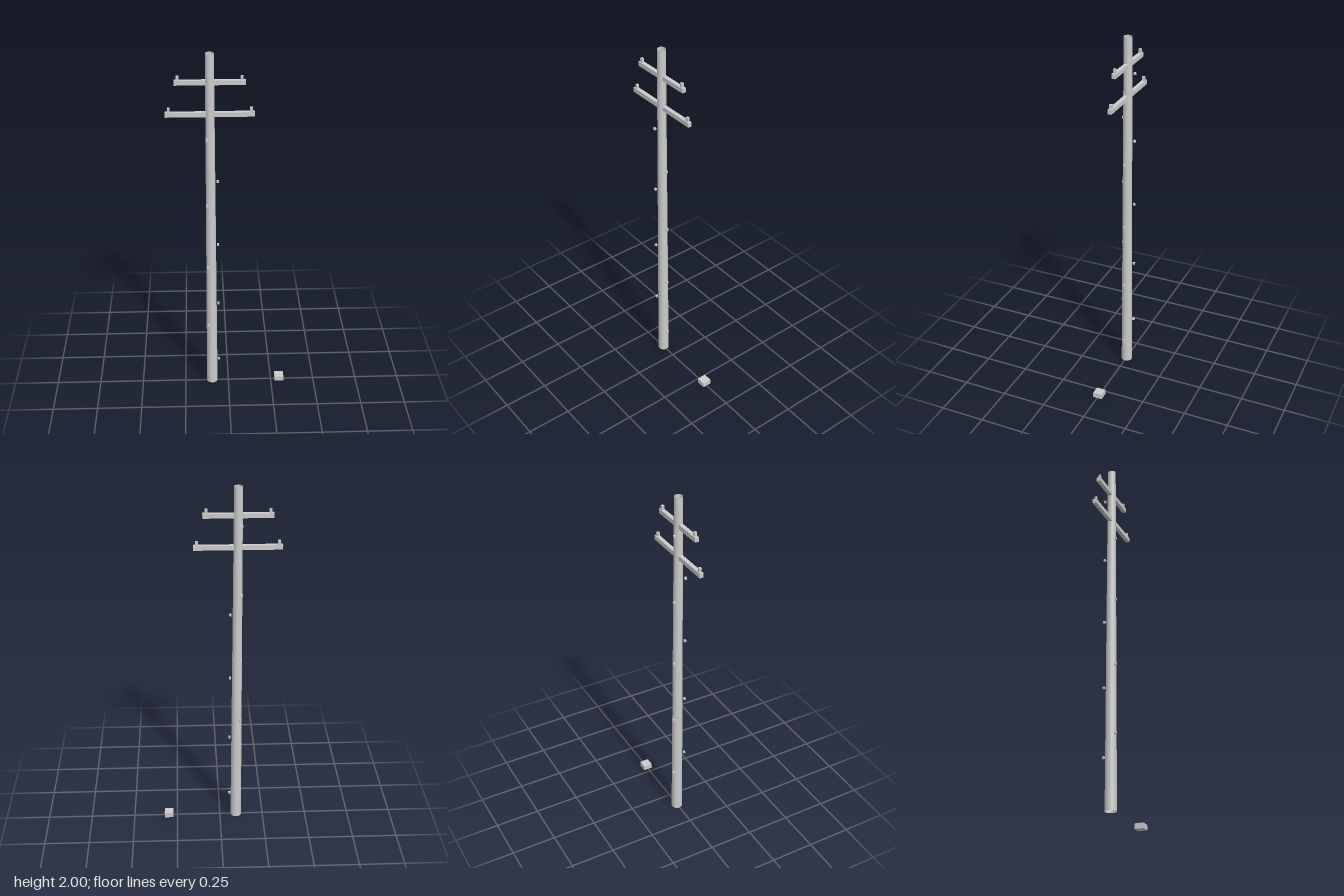
import * as THREE from 'three';

const PX = -0.094, PZ = -0.002; // pole axis
const BASE_R = 0.031, TOP_R = 0.0225;

export function createModel() {
  const model = new THREE.Group();
  const grey = new THREE.MeshStandardMaterial({ color: 0xcccccc });
  const open = new THREE.MeshStandardMaterial({ color: 0xcccccc, side: THREE.DoubleSide });

  const add = (name, geometry, x, y, z, material = grey) => {
    const mesh = new THREE.Mesh(geometry, material);
    mesh.name = name;
    mesh.position.set(x, y, z);
    model.add(mesh);
  };
  const box = (name, w, h, d, x, y, z) => add(name, new THREE.BoxGeometry(w, h, d), x, y, z);

  // Tapered hollow pole, open at both ends
  add('pole', new THREE.CylinderGeometry(TOP_R, BASE_R, 2, 24, 1, true), PX, 1, PZ, open);

  // Cross arms, each with an insulator peg near either end
  const arms = [
    { name: 'upperArm', length: 0.365, y: 1.847, peg: 0.164 },
    { name: 'lowerArm', length: 0.463, y: 1.675, peg: 0.213 },
  ];
  for (const { name, length, y, peg } of arms) {
    box(name, length, 0.025, 0.022, PX, y, PZ);
    for (const side of [-1, 1]) {
      box(name + 'Insulator', 0.014, 0.023, 0.014, PX + side * peg, y + 0.0235, PZ);
    }
  }

  // Climbing steps spiralling up the pole, a third of a turn apart
  for (let i = 0; i < 14; i++) {
    const y = 0.15 + i * 0.1268;
    if (y > 1.81) break;
    // the place behind the lower arm stays empty
    if (i === 12) continue;
    const angle = (i * Math.PI * 2) / 3;
    const r = 0.039 - 0.001 * y;
    box('climbingStep', 0.012, 0.012, 0.012,
      PX + r * Math.cos(angle), y, PZ - r * Math.sin(angle));
  }

  // Separate small block on the ground
  box('groundBlock', 0.052, 0.03, 0.052, 0.298, 0.015, PZ);

  return model;
}
